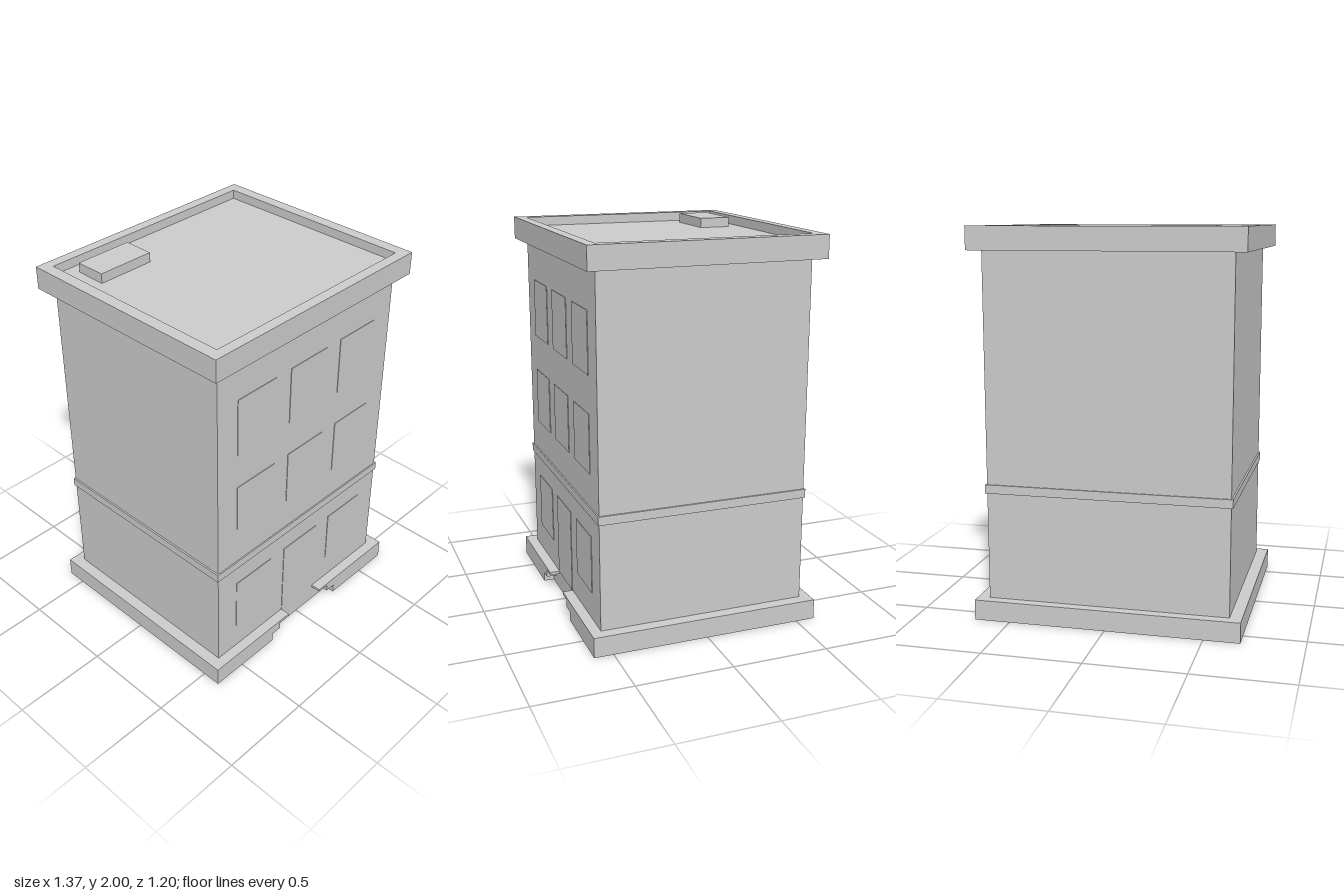
import * as THREE from 'three';

export function createModel() {
  const model = new THREE.Group();
  const material = new THREE.MeshStandardMaterial({ color: 0xcccccc });

  const add = (name, geometry, parent = model) => {
    const mesh = new THREE.Mesh(geometry, material);
    mesh.name = name;
    parent.add(mesh);
    return mesh;
  };
  // Box given by its lower and upper limits
  const box = (name, [x0, y0, z0], [x1, y1, z1], parent) => {
    const mesh = add(name, new THREE.BoxGeometry(x1 - x0, y1 - y0, z1 - z0), parent);
    mesh.position.set((x0 + x1) / 2, (y0 + y1) / 2, (z0 + z1) / 2);
    return mesh;
  };

  const W = 0.685, D = 0.6;       // half size of base and cornice
  const w = 0.623, d = 0.545;     // half size of walls
  const baseTop = 0.105, corniceBottom = 1.88, rimTop = 1.997, roofY = 1.95;

  // Walls, closed by the roof deck
  box('walls', [-w, baseTop, -d], [w, roofY, d]);

  // Base, with a stepped gap in its front edge at the entrance
  const base = new THREE.Group();
  base.name = 'base';
  model.add(base);
  box('baseSlab', [-W, 0, -D], [W, baseTop, d], base);
  const profile = [[0.26, 0], [W, 0], [W, baseTop], [0.13, baseTop],
    [0.13, 0.09], [0.2, 0.09], [0.2, 0.05], [0.26, 0.05]];
  for (const side of [-1, 1]) {
    const shape = new THREE.Shape(profile.map(([x, y]) => new THREE.Vector2(side * x, y)));
    const edge = new THREE.ExtrudeGeometry(shape, { depth: D - d, bevelEnabled: false });
    add(side > 0 ? 'leftBaseFront' : 'rightBaseFront', edge, base).position.z = d;
  }

  // String course above the ground floor
  box('stringCourse', [-0.632, 0.66, -0.552], [0.632, 0.705, 0.552]);

  // Cornice: a ring that rises above the roof deck as a parapet
  const rectangle = (Type, x, z) => new Type([[-x, -z], [x, -z], [x, z], [-x, z]]
    .map(([a, b]) => new THREE.Vector2(a, b)));
  const ring = rectangle(THREE.Shape, W, D);
  ring.holes.push(rectangle(THREE.Path, w, d));
  const cornice = new THREE.ExtrudeGeometry(ring, { depth: rimTop - corniceBottom, bevelEnabled: false });
  cornice.rotateX(-Math.PI / 2);
  add('cornice', cornice).position.y = corniceBottom;

  // Low hatch on the roof
  box('roofHatch', [-0.52, roofY, -0.48], [-0.21, 2, -0.315]);

  // Window panes and the door, barely proud of the front wall
  const front = d + 0.003;
  for (const [y0, y1] of [[0.25, 0.55], [0.875, 1.175], [1.365, 1.675]]) {
    for (const x of [-0.362, 0, 0.362]) {
      const isDoor = x === 0 && y0 < 0.5;
      box(isDoor ? 'door' : 'window', [x - 0.13, isDoor ? baseTop : y0, d - 0.02], [x + 0.13, y1, front]);
    }
  }

  return model;
}
